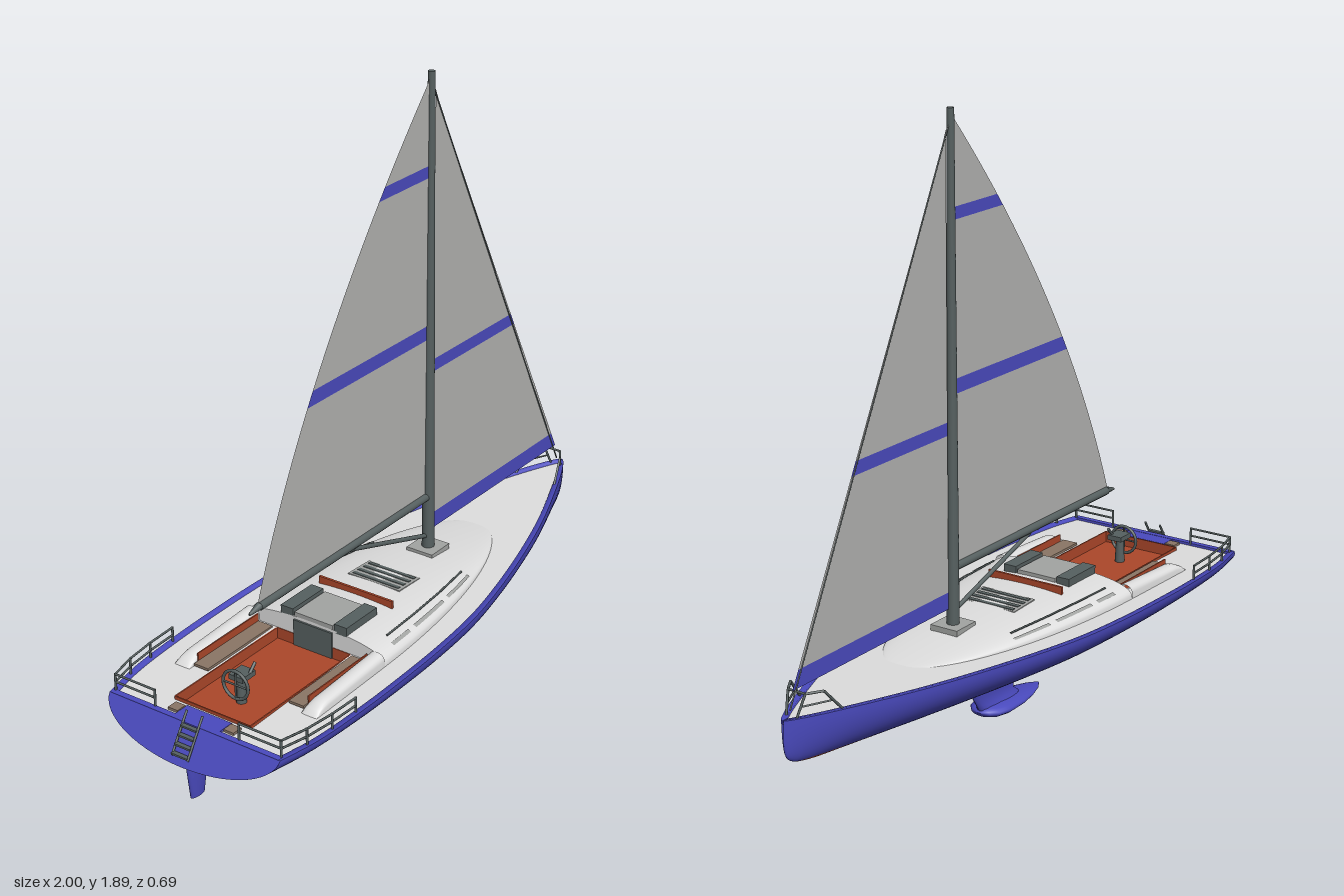
import * as THREE from 'three';

const mat = (name, color) => new THREE.MeshStandardMaterial({ name, color, side: THREE.DoubleSide });

export function createModel() {
  const boat = new THREE.Group();
  boat.name = 'sailingYacht';
  const blue = mat('hullBlue', 0x4a4abe), red = mat('rustRed', 0xac472a), white = mat('deckWhite', 0xdedede);
  const sailGrey = mat('sailGrey', 0xb2b2b0), dark = mat('sparGrey', 0x566060);
  const grey = mat('hatchGrey', 0xa2a4a2), taupe = mat('seatTaupe', 0x8a7666);

  const add = (name, geo, material, x = 0, y = 0, z = 0) => {
    const m = new THREE.Mesh(geo, material);
    m.name = name;
    m.position.set(x, y, z);
    boat.add(m);
    return m;
  };
  const box = (name, material, sx, sy, sz, x, y, z) => add(name, new THREE.BoxGeometry(sx, sy, sz), material, x, y, z);
  // Surface swept over u and v in 0..1; f returns [x, y, z]
  const grid = (nu, nv, f) => {
    const pos = [], idx = [];
    for (let i = 0; i <= nu; i++) for (let j = 0; j <= nv; j++) pos.push(...f(i / nu, j / nv));
    for (let i = 0; i < nu; i++) for (let j = 0; j < nv; j++) {
      const a = i * (nv + 1) + j, b = a + nv + 1;
      idx.push(a, b, a + 1, b, b + 1, a + 1);
    }
    const g = new THREE.BufferGeometry();
    g.setAttribute('position', new THREE.Float32BufferAttribute(pos, 3));
    g.setIndex(idx);
    g.computeVertexNormals();
    return g;
  };
  const rod = (name, material, a, b, r0, r1 = r0, sides = 12) => {
    const p = new THREE.Vector3(...a), q = new THREE.Vector3(...b), d = q.clone().sub(p);
    const m = add(name, new THREE.CylinderGeometry(r1, r0, d.length(), sides), material);
    m.position.copy(p).add(q).multiplyScalar(0.5);
    m.quaternion.setFromUnitVectors(new THREE.Vector3(0, 1, 0), d.normalize());
    return m;
  };
  const rail = (name, points, r) => {
    for (let i = 1; i < points.length; i++) rod(name, dark, points[i - 1], points[i], r, r, 6);
  };
  const clamp = (v) => Math.min(1, Math.max(0, v));
  const sheer = (x) => 0.3 + 0.0218 * (x + 0.935);
  const deckY = (x) => sheer(x) - 0.008;

  // Hull stations: x, half beam, keel height
  const stations = new THREE.CatmullRomCurve3([
    [-0.935, 0.305, 0.2], [-0.8, 0.332, 0.192], [-0.6, 0.345, 0.184], [-0.4, 0.347, 0.177], [-0.2, 0.342, 0.174],
    [0, 0.325, 0.172], [0.2, 0.287, 0.172], [0.4, 0.237, 0.174], [0.6, 0.176, 0.178], [0.8, 0.1, 0.185],
    [0.9, 0.058, 0.193], [0.96, 0.029, 0.208], [0.985, 0.015, 0.228], [0.998, 0.003, 0.28]
  ].map((p) => new THREE.Vector3(...p)));
  const hullPoint = (p, t, side) => {
    const s = sheer(p.x), u = Math.sin(t);
    return [p.x - 0.065 * u * clamp((-0.75 - p.x) / 0.185), s - (s - p.z) * u, side * p.y * Math.cos(t)];
  };
  const waterline = (p) => {
    const s = sheer(p.x);
    return Math.asin(clamp((s - 0.205) / (s - p.z)));
  };
  for (const side of [-1, 1]) {
    add('hullSide', grid(60, 12, (u, v) => {
      const p = stations.getPoint(u);
      return hullPoint(p, v * waterline(p), side);
    }), blue);
    add('hullBottom', grid(60, 8, (u, v) => {
      const p = stations.getPoint(u), w = waterline(p);
      return hullPoint(p, w + v * (Math.PI / 2 - w), side);
    }), red);
    add('toeRail', grid(60, 2, (u, v) => {
      const p = stations.getPoint(u);
      return [p.x, sheer(p.x) - (v === 1 ? 0.012 : 0), side * Math.max(0, p.y - (v > 0 ? 0.018 : 0))];
    }), blue);
  }
  const stern = stations.getPoint(0);
  add('transom', grid(16, 2, (u, v) => {
    const p = hullPoint(stern, u * Math.PI / 2, 1);
    return [p[0], p[1], p[2] * (1 - 2 * v)];
  }), blue);
  box('sternRail', blue, 0.02, 0.012, 0.6, -0.926, 0.295, 0);

  // Deck with the cockpit cut out
  const edge = [];
  for (let i = 0; i <= 60; i++) {
    const p = stations.getPoint(i / 60);
    edge.push(new THREE.Vector2(p.x, Math.max(0.0005, p.y - 0.01)));
  }
  const deckShape = new THREE.Shape([...edge, ...edge.map((p) => new THREE.Vector2(p.x, -p.y)).reverse()]);
  const cx0 = -0.85, cx1 = -0.38, cz = 0.135;
  deckShape.holes.push(new THREE.Path([[cx0, -cz], [cx0, cz], [cx1, cz], [cx1, -cz]].map((p) => new THREE.Vector2(...p))));
  const deck = new THREE.ShapeGeometry(deckShape), dp = deck.attributes.position;
  for (let i = 0; i < dp.count; i++) dp.setXYZ(i, dp.getX(i), deckY(dp.getX(i)), dp.getY(i));
  deck.computeVertexNormals();
  add('deck', deck, white);

  // Cockpit
  box('cockpitFloor', red, cx1 - cx0, 0.006, 2 * cz, (cx0 + cx1) / 2, 0.265, 0);
  for (const s of [-1, 1]) box('cockpitWall', red, cx1 - cx0, 0.04, 0.004, (cx0 + cx1) / 2, 0.284, s * cz);
  for (const x of [cx0, cx1]) box('cockpitEnd', red, 0.004, 0.04, 2 * cz, x, 0.284, 0);
  box('sternPanel', blue, 0.06, 0.006, 0.16, -0.893, 0.297, 0);
  for (const s of [-1, 1]) box('sternPad', taupe, 0.035, 0.008, 0.035, -0.885, 0.297, s * 0.1);

  // Coachroof
  const taper = (x) => Math.max(0, 1 - ((x + 0.38) / 0.87) ** 2);
  const roof = (x, a, lift = 0) => [x, deckY(x) - 0.002 + lift +
    0.062 * taper(x) * Math.max(0, Math.cos(a * Math.PI / 2)) ** 0.7, 0.257 * Math.sqrt(taper(x)) * Math.sin(a * Math.PI / 2)];
  const roofX = (u) => -0.38 + 0.87 * Math.sin(u * Math.PI / 2);
  add('coachroof', grid(32, 32, (u, v) => roof(roofX(u), 2 * v - 1)), white);
  add('cabinBulkhead', grid(32, 1, (u, v) => {
    const p = roof(-0.38, 2 * u - 1);
    return v ? p : [p[0], deckY(-0.38) - 0.005, p[2]];
  }), white);
  box('companionwayDoor', dark, 0.006, 0.085, 0.14, -0.384, 0.312, 0);
  box('slidingHatch', grey, 0.15, 0.014, 0.14, -0.305, 0.37, 0);
  box('hatchLip', red, 0.008, 0.03, 0.27, -0.17, 0.368, 0);
  for (const s of [-1, 1]) {
    box('hatchRail', dark, 0.15, 0.03, 0.045, -0.305, 0.37, s * 0.098);
    for (const [x0, x1] of [[-0.31, -0.22], [-0.19, -0.02], [0.01, 0.16]])
      add('cabinWindow', grid(8, 2, (u, v) => roof(x0 + u * (x1 - x0), s * (0.7 + 0.07 * v), 0.003)), grey);
    rail('grabRail', [-0.3, -0.15, 0, 0.15].map((x) => roof(x, s * 0.6, 0.008)), 0.003);
    // Coaming arms and seats beside the cockpit
    add('coaming', grid(16, 12, (u, v) => {
      const x = -0.71 + 0.33 * u, a = v * Math.PI;
      return [x, deckY(x) - 0.002 + (0.03 + 0.012 * u) * Math.sqrt(clamp(u * 6)) * Math.sqrt(Math.max(0, Math.sin(a))),
        s * (0.229 - 0.028 * Math.cos(a))];
    }), white);
    box('coamingLining', red, 0.28, 0.026, 0.004, -0.53, 0.32, s * 0.2);
    box('cockpitSeat', taupe, 0.3, 0.008, 0.052, -0.54, 0.305, s * 0.172);
  }
  const hatchTilt = -0.05;
  box('foreHatch', grey, 0.11, 0.008, 0.19, -0.025, 0.357, 0).rotation.z = hatchTilt;
  for (let i = 0; i < 4; i++)
    box('hatchLouvre', dark, 0.013, 0.008, 0.17, -0.065 + i * 0.027, 0.361 - i * 0.0013, 0).rotation.z = hatchTilt;

  // Steering pedestal and wheel
  rod('pedestal', dark, [-0.72, 0.265, 0], [-0.72, 0.35, 0], 0.016, 0.012);
  box('pedestalHead', dark, 0.06, 0.016, 0.05, -0.715, 0.355, 0);
  const wheel = add('steeringWheel', new THREE.TorusGeometry(0.045, 0.005, 8, 24), dark, -0.745, 0.335, 0);
  wheel.rotation.y = Math.PI / 2;
  rod('wheelSpoke', dark, [-0.745, 0.335, -0.045], [-0.745, 0.335, 0.045], 0.003);
  rod('wheelSpoke', dark, [-0.745, 0.29, 0], [-0.745, 0.38, 0], 0.003);
  rod('throttle', dark, [-0.71, 0.355, 0.02], [-0.68, 0.385, 0.02], 0.005);

  // Mast, boom, vang and forestay
  box('mastStep', grey, 0.095, 0.02, 0.095, 0.21, 0.352, 0);
  rod('mast', dark, [0.21, 0.35, 0], [0.21, 1.89, 0], 0.02, 0.011, 16);
  rod('boom', dark, [0.2, 0.535, 0], [-0.63, 0.535, 0], 0.013);
  rod('boomEnd', dark, [-0.63, 0.537, 0], [-0.675, 0.529, 0], 0.012, 0.004);
  rod('boomVang', dark, [-0.2, 0.527, 0], [0.2, 0.4, 0], 0.007);
  rod('forestay', dark, [0.215, 1.85, 0], [0.965, 0.36, 0], 0.0025, 0.0025, 6);

  // Sails, built as horizontal bands in alternating colours
  const sail = (name, levels, inner, outer) => {
    for (let i = 0; i + 1 < levels.length; i++) {
      const [y0, stripe] = levels[i], y1 = levels[i + 1][0];
      add(stripe ? name + 'Stripe' : name, grid(14, 1, (u, v) => {
        const y = y0 + u * (y1 - y0);
        return [v ? outer(y) : inner, y, 0];
      }), stripe ? blue : sailGrey);
    }
  };
  sail('mainSail', [[0.545, 0], [1.06, 1], [1.105, 0], [1.57, 1], [1.607, 0], [1.87, 0]], 0.2, (y) => {
    const t = (y - 0.545) / 1.325;
    return -0.637 + 0.842 * t - 0.352 * t * (1 - t);
  });
  sail('jib', [[0.412, 1], [0.465, 0], [0.945, 1], [0.985, 0], [1.83, 0]], 0.232, (y) => 0.953 - (y - 0.412) * 0.512);

  // Keel fin: [y, aft x, fore x, half thickness]; ballast bulb: [x, centre y, half height, half width]
  const ring = (name, table, f) => {
    add(name, grid(table.length - 1, 24, (u, v) => f(table[Math.round(u * (table.length - 1))], v * Math.PI * 2)), blue);
  };
  ring('keelFin', [[0.185, -0.15, 0.23, 0.075], [0.168, -0.135, 0.185, 0.055], [0.15, -0.115, 0.15, 0.035],
    [0.12, -0.103, 0.13, 0.026], [0.08, -0.1, 0.108, 0.023], [0.05, -0.103, 0.088, 0.025], [0.02, -0.14, 0.07, 0.04]],
  ([y, a, b, h], t) => [(a + b) / 2 + (b - a) / 2 * Math.cos(t), y, h * Math.sin(t)]);
  ring('keelBulb', [[-0.243, 0.012, 0.001, 0.004], [-0.21, 0.013, 0.006, 0.025], [-0.15, 0.015, 0.013, 0.045],
    [-0.08, 0.019, 0.019, 0.06], [0, 0.022, 0.022, 0.065], [0.045, 0.023, 0.02, 0.055], [0.07, 0.024, 0.013, 0.034],
    [0.08, 0.025, 0.001, 0.004]],
  ([x, y, h, w], t) => [x, y + h * Math.sin(t), w * Math.cos(t)]);
  ring('rudder', [[0.22, -0.975, -0.87, 0.016], [0.19, -0.97, -0.875, 0.016], [0.07, -0.955, -0.898, 0.011],
    [0.07, -0.927, -0.926, 0.001]],
  ([y, a, b, h], t) => [(a + b) / 2 + (b - a) / 2 * Math.cos(t), y, h * Math.sin(t)]);

  // Guard rails and boarding ladder
  for (const s of [-1, 1]) {
    const path = [[-0.625, 0.332], [-0.73, 0.328], [-0.83, 0.317], [-0.918, 0.296], [-0.918, 0.15]];
    for (const y of [0.327, 0.352]) rail('sternGuardRail', path.map(([x, z]) => [x, y, s * z]), 0.0035);
    for (const [x, z] of path) rod('sternPost', dark, [x, 0.295, s * z], [x, 0.354, s * z], 0.004, 0.004, 6);
    rail('bowPulpit', [[0.83, 0.335, s * 0.075], [0.89, 0.405, s * 0.058], [0.935, 0.405, s * 0.03], [0.96, 0.338, s * 0.018]], 0.004);
    rail('bowPulpitBar', [[0.86, 0.37, s * 0.066], [0.947, 0.37, s * 0.024]], 0.003);
    rail('ladderSide', [[-0.925, 0.335, s * 0.028], [-0.945, 0.305, s * 0.028], [-0.996, 0.225, s * 0.028]], 0.004);
  }
  rod('bowPulpitCross', dark, [0.935, 0.405, -0.03], [0.935, 0.405, 0.03], 0.004, 0.004, 6);
  for (let i = 0; i < 4; i++) box('ladderStep', dark, 0.014, 0.006, 0.056, -0.95 - i * 0.0145, 0.3 - i * 0.0225, 0);

  return boat;
}
